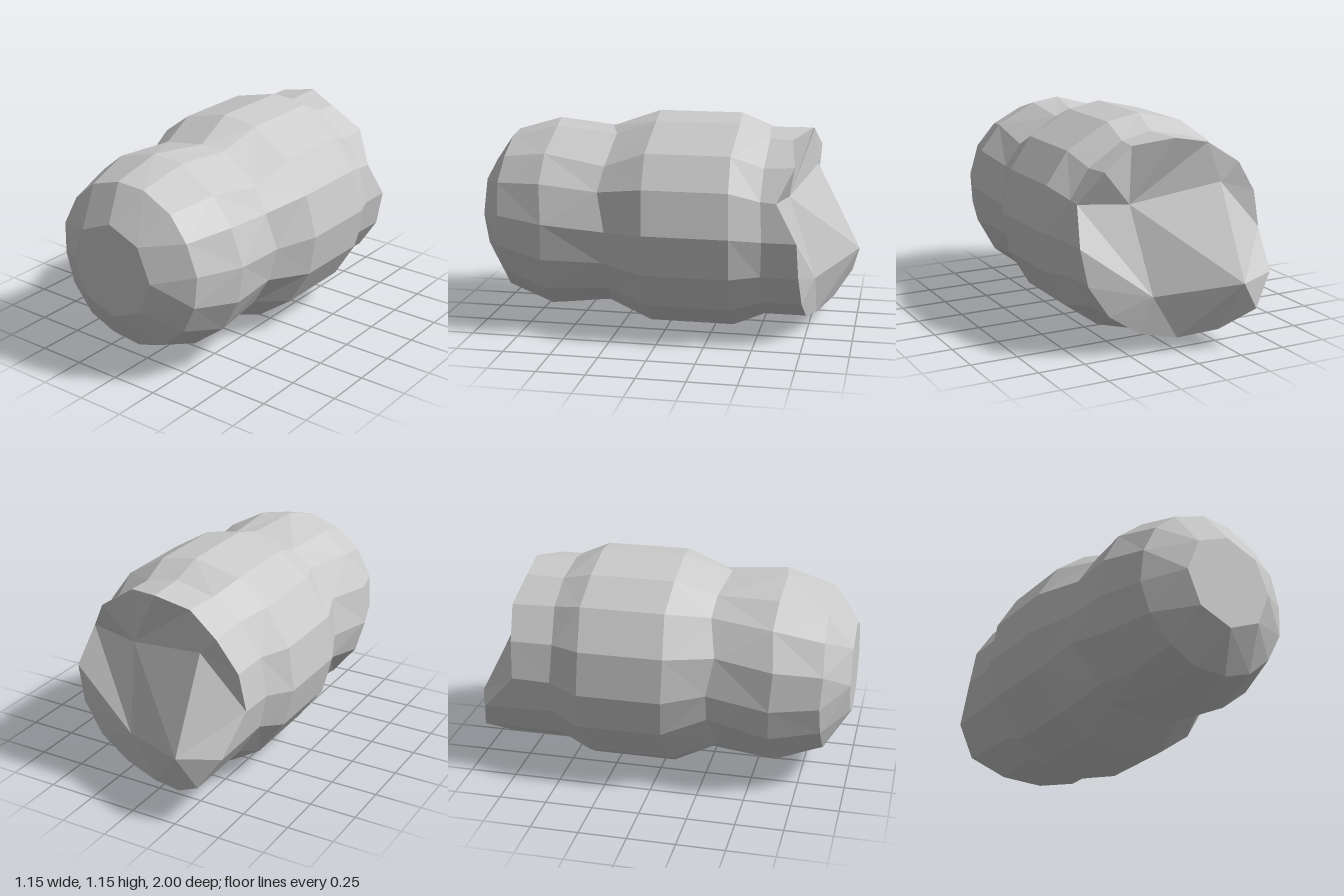
import * as THREE from 'three';

const SIDES = 16;

// flat-shaded mesh from a list of triangles, dropping collapsed ones
function facetMesh(name, triangles) {
  const solid = triangles.filter(([a, b, c]) =>
    a.distanceTo(b) > 1e-4 && b.distanceTo(c) > 1e-4 && c.distanceTo(a) > 1e-4);
  const geometry = new THREE.BufferGeometry().setFromPoints(solid.flat());
  geometry.computeVertexNormals();
  const material = new THREE.MeshStandardMaterial({ color: 0xcccccc, flatShading: true });
  const mesh = new THREE.Mesh(geometry, material);
  mesh.name = name;
  return mesh;
}

// one slightly uneven ring of points around the long axis
function ring({ z, r, y = 0.575, step = 1, turn = 0, wobble = 0 }) {
  return Array.from({ length: SIDES }, (_, i) => {
    const k = i - (i % step);
    const a = ((k + turn + wobble * 8 * Math.sin(k * 2.7)) / SIDES) * Math.PI * 2;
    const depth = Array.isArray(z) ? z[i] : z + wobble * Math.sin(k * 4.1 + r * 9);
    return new THREE.Vector3(r * Math.cos(a), y + r * Math.sin(a), depth);
  });
}

// skin between successive rings, running front to back
function loft(rings) {
  const triangles = [];
  for (let k = 0; k < rings.length - 1; k++) {
    const [front, back] = [rings[k], rings[k + 1]];
    for (let i = 0; i < SIDES; i++) {
      const j = (i + 1) % SIDES;
      if ((i + k) % 2) triangles.push([front[i], back[i], front[j]], [front[j], back[i], back[j]]);
      else triangles.push([front[i], back[i], back[j]], [front[i], back[j], front[j]]);
    }
  }
  return triangles;
}

export function createModel() {
  const group = new THREE.Group();
  group.name = 'brokenSegment';

  // rounded front knob, closed by a flat fan
  const tip = ring({ z: 1, r: 0.25, y: 0.595, step: 2 });
  const neck = ring({ z: 0.3, r: 0.485, y: 0.583, wobble: 0.025 });
  const knob = loft([
    tip,
    ring({ z: 0.87, r: 0.437, y: 0.583, turn: 0.3, wobble: 0.006 }),
    ring({ z: 0.62, r: 0.518, turn: 0.2, wobble: 0.012 }),
    neck,
  ]);
  const centre = new THREE.Vector3(0, 0.595, 1);
  tip.forEach((p, i) => knob.push([centre, p, tip[(i + 1) % SIDES]]));
  group.add(facetMesh('frontKnob', knob));

  // wide barrel and the narrower collar that ends in a jagged rim
  const collar = ring({ z: -0.535, r: 0.508, wobble: 0.008 });
  group.add(facetMesh('barrel', loft([
    neck,
    ring({ z: 0.07, r: 0.577, y: 0.574, turn: 0.1, wobble: 0.01 }),
    ring({ z: -0.375, r: 0.577, y: 0.574, turn: 0.1, wobble: 0.01 }),
    collar,
  ])));
  const rim = ring({
    r: 0.508,
    z: [-0.72, -0.61, -0.69, -0.66, -0.75, -0.74, -0.77, -0.75,
      -0.74, -0.91, -0.96, -0.87, -0.79, -0.75, -0.74, -0.73],
  });
  group.add(facetMesh('jaggedCollar', loft([collar, rim])));

  // broken back face: rim points join to four inner points, right round
  const low = new THREE.Vector3(0.14, 0.3, -0.79);
  const notch = new THREE.Vector3(0.2, 0.75, -0.65);
  const ridge = new THREE.Vector3(-0.26, 0.84, -0.76);
  const peak = new THREE.Vector3(-0.26, 0.37, -1);
  const hubs = [low, notch, notch, notch, notch, ridge, ridge, ridge,
    peak, peak, peak, peak, low, low, low, low];
  const face = [[peak, ridge, notch], [peak, notch, low]];
  rim.forEach((p, i) => {
    const j = (i + 1) % SIDES;
    face.push([rim[j], p, hubs[i]], [hubs[j], rim[j], hubs[i]]);
  });
  group.add(facetMesh('brokenFace', face));

  return group;
}
